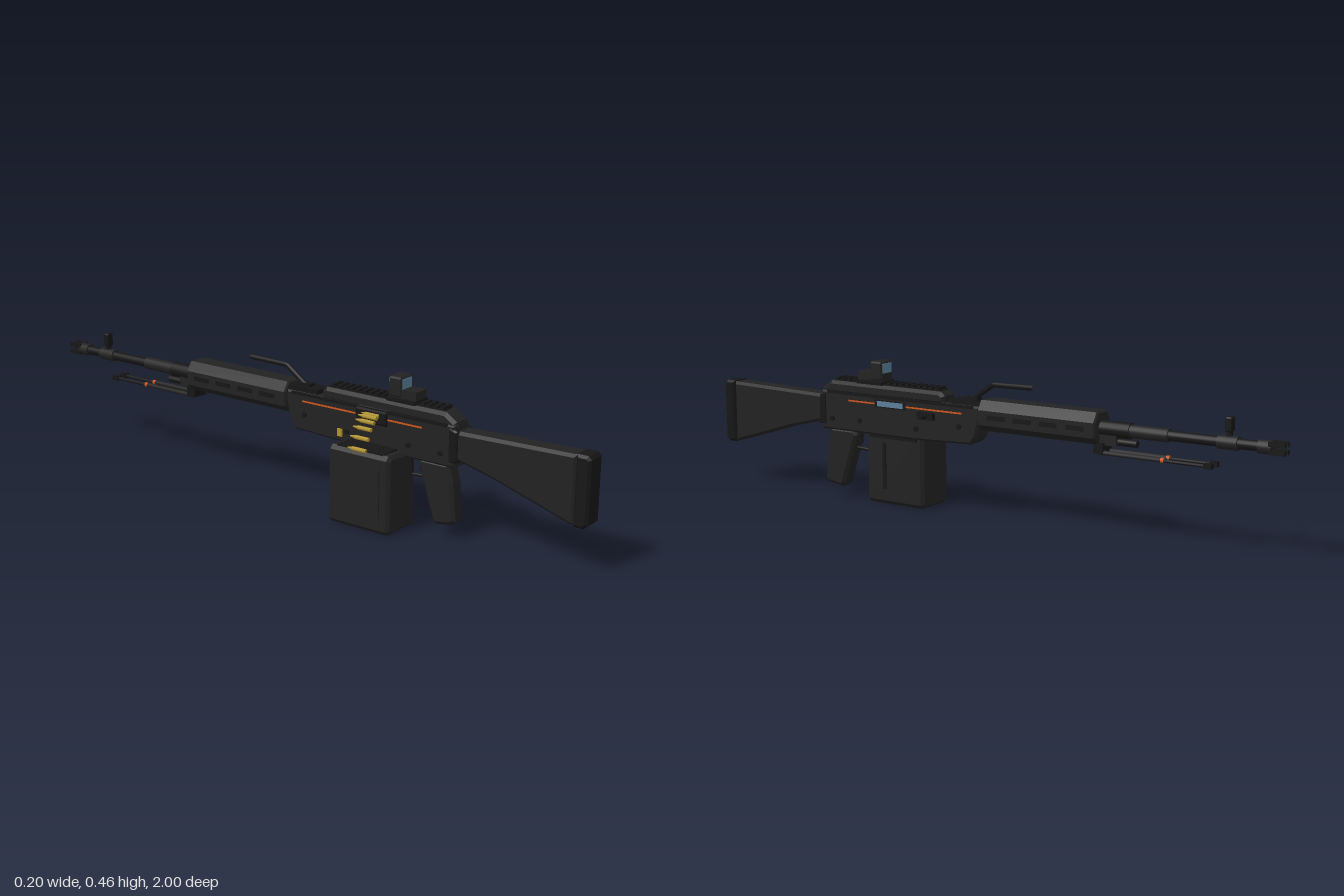
import * as THREE from 'three';
import { RoundedBoxGeometry } from 'three/addons/geometries/RoundedBoxGeometry.js';

const AXIS = 0.022; // x of the bore line
const BORE = 0.325; // y of the bore line

export function createModel() {
  const root = new THREE.Group();
  root.name = 'beltFedGun';
  const mat = (name, color) => {
    const m = new THREE.MeshStandardMaterial({ color });
    m.name = name;
    return m;
  };
  const body = mat('charcoal', 0x222222);
  const dark = mat('black', 0x161616);
  const glass = mat('blueGlass', 0x5a7f98);
  const brass = mat('brass', 0xb0922c);
  const orange = mat('orange', 0xd0541a);

  const add = (name, geo, material, x = 0, y = 0, z = 0) => {
    const m = new THREE.Mesh(geo, material);
    m.name = name;
    m.position.set(x, y, z);
    root.add(m);
    return m;
  };
  // Box given by its min and max on each axis
  const box = (name, material, [x0, x1], [y0, y1], [z0, z1]) =>
    add(name, new THREE.BoxGeometry(x1 - x0, y1 - y0, z1 - z0), material,
      (x0 + x1) / 2, (y0 + y1) / 2, (z0 + z1) / 2);
  const shapeOf = (pts) => new THREE.Shape(pts.map(([u, v]) => new THREE.Vector2(u, v)));
  const extrude = (pts, depth, bevel) => {
    const g = new THREE.ExtrudeGeometry(shapeOf(pts), {
      depth: depth - 2 * bevel, bevelEnabled: bevel > 0, bevelSize: bevel,
      bevelThickness: bevel, bevelOffset: -bevel, bevelSegments: 1, curveSegments: 6,
    });
    return g.translate(0, 0, bevel - depth / 2);
  };
  // Side outline of [z, y] points, given a width across x
  const side = (name, material, pts, width, bevel = 0.006, x = AXIS) =>
    add(name, extrude(pts, width, bevel).rotateY(-Math.PI / 2), material, x);
  // Front outline of [x, y] points, run from z0 to z1
  const along = (name, material, pts, z0, z1, bevel = 0.004) =>
    add(name, extrude(pts, z1 - z0, bevel), material, 0, 0, (z0 + z1) / 2);
  // Cylinder along z
  const rod = (name, material, r, z0, z1, x = AXIS, y = BORE, sides = 16) =>
    add(name, new THREE.CylinderGeometry(r, r, z1 - z0, sides).rotateX(Math.PI / 2),
      material, x, y, (z0 + z1) / 2);
  const tube = (name, material, pts, r) => {
    const path = new THREE.CurvePath();
    const v = pts.map((p) => new THREE.Vector3(...p));
    for (let i = 1; i < v.length; i++) path.add(new THREE.LineCurve3(v[i - 1], v[i]));
    return add(name, new THREE.TubeGeometry(path, 24, r, 8), material);
  };

  // Stock, butt pad and rear cap
  side('stock', body, [[0.57, 0.335], [0.57, 0.25], [0.7, 0.218], [0.94, 0.143],
    [0.957, 0.14], [0.957, 0.344]], 0.066, 0.009);
  side('buttPad', dark, [[0.955, 0.139], [0.985, 0.137], [1, 0.15], [1, 0.337],
    [0.99, 0.347], [0.955, 0.347]], 0.07, 0.008);
  side('stockCollar', dark, [[0.555, 0.238], [0.585, 0.242], [0.585, 0.335], [0.555, 0.345]], 0.08, 0.005);

  // Receiver, top cover and rail
  side('receiver', body, [[0.575, 0.225], [0.2, 0.225], [0.0, 0.233], [-0.018, 0.255], [-0.035, 0.325],
    [-0.03, 0.352], [0.575, 0.352]], 0.075);
  side('topCover', body, [[0.58, 0.345], [0.575, 0.36], [0.54, 0.384], [0.115, 0.384],
    [0.1, 0.372], [0.1, 0.345]], 0.07, 0.01);
  box('rail', dark, [0.002, 0.042], [0.38, 0.387], [0.12, 0.53]);
  for (let i = 0; i < 18; i++) {
    const z = 0.128 + i * 0.0228;
    box('railTooth', dark, [0, 0.044], [0.386, 0.395], [z, z + 0.012]);
  }
  box('barrelClamp', dark, [-0.005, 0.049], [0.35, 0.366], [-0.03, 0.08]);

  // Side stripes, pins and lower ledges on both flanks
  for (const s of [-1, 1]) {
    const face = AXIS + s * 0.0375;
    const plate = (name, m, y, z, h, l, t = 0.003) =>
      add(name, new THREE.BoxGeometry(t, h, l), m, face, y, z);
    plate('stripe', orange, 0.326, 0.2475, 0.005, 0.435);
    plate('sideLedge', dark, 0.348, 0.27, 0.008, 0.56, 0.008);
    for (const [z, y] of [[0.53, 0.262], [0.42, 0.265], [0.2, 0.262], [0.04, 0.285]]) {
      add('pin', new THREE.CylinderGeometry(0.008, 0.008, 0.012, 10).rotateZ(Math.PI / 2), dark, face, y, z);
    }
  }
  box('sideWindowFrame', dark, [0.058, 0.0615], [0.315, 0.34], [0.24, 0.36]);
  box('sideWindow', glass, [0.059, 0.063], [0.319, 0.336], [0.25, 0.35]);
  box('brassTab', brass, [-0.019, -0.013], [0.243, 0.267], [0.165, 0.182]);

  // Charging handle
  box('chargingSlide', dark, [0.058, 0.073], [0.295, 0.318], [0.13, 0.19]);
  add('chargingHandle', new THREE.CylinderGeometry(0.006, 0.006, 0.04, 10).rotateZ(Math.PI / 2), dark, 0.08, 0.306, 0.157);

  // Pistol grip, trigger and guard
  side('pistolGrip', body, [[0.55, 0.23], [0.455, 0.23], [0.445, 0.212], [0.498, 0.05], [0.508, 0.037],
    [0.565, 0.046], [0.576, 0.058], [0.565, 0.17]], 0.056, 0.01);
  tube('triggerGuard', dark, [[AXIS, 0.168, 0.47], [AXIS, 0.165, 0.41], [AXIS, 0.23, 0.402]], 0.005);
  side('trigger', dark, [[0.465, 0.23], [0.45, 0.23], [0.438, 0.185], [0.444, 0.183], [0.455, 0.2]], 0.012, 0.002);

  // Ammunition box with raised side panels
  along('ammoBox', body, [[-0.086, 0], [0.033, 0], [0.044, 0.012], [0.044, 0.235], [-0.084, 0.243],
    [-0.096, 0.23], [-0.096, 0.012]], 0.188, 0.408, 0.01);
  box('boxSidePanel', body, [-0.1, -0.09], [0.035, 0.2], [0.22, 0.376]);
  box('boxLid', dark, [-0.086, -0.015], [0.236, 0.245], [0.215, 0.38]);
  box('boxRib', dark, [0.04, 0.047], [0.05, 0.2], [0.33, 0.342]);
  box('boxMount', dark, [-0.01, 0.05], [0.215, 0.24], [0.21, 0.39]);

  // Feed tray and ammunition belt
  along('feedTray', dark, [[-0.01, 0.3], [-0.026, 0.312], [-0.026, 0.345], [-0.01, 0.356]], 0.235, 0.345, 0.003);
  const belt = [[-0.088, 0.244], [-0.076, 0.276], [-0.063, 0.302], [-0.05, 0.32], [-0.037, 0.331], [-0.024, 0.335]];
  for (const [x, y] of belt) {
    rod('cartridge', brass, 0.0065, 0.274, 0.322, x, y, 10);
    add('bulletTip', new THREE.CylinderGeometry(0.002, 0.005, 0.018, 10).rotateX(-Math.PI / 2), brass, x, y, 0.265);
  }

  // Reflex sight with a framed lens
  box('sightMount', dark, [-0.012, 0.057], [0.384, 0.396], [0.335, 0.435]);
  box('sightBase', body, [-0.004, 0.048], [0.39, 0.422], [0.34, 0.435]);
  add('sightHousing', new RoundedBoxGeometry(0.062, 0.062, 0.045, 2, 0.008), body, AXIS, 0.428, 0.3625);
  box('sightLens', glass, [-0.001, 0.045], [0.421, 0.452], [0.338, 0.387]);

  // Carrying handle
  tube('carryHandle', dark, [[AXIS, 0.362, 0.03], [AXIS, 0.37, 0.01], [AXIS, 0.418, -0.058], [AXIS, 0.42, -0.2]], 0.008);
  box('handleHinge', dark, [0.008, 0.036], [0.35, 0.374], [-0.01, 0.04]);

  // Handguard with vents on both flanks
  along('handguard', body, [[-0.006, 0.28], [0.05, 0.28], [0.07, 0.3], [0.07, 0.345], [0.05, 0.374],
    [-0.006, 0.374], [-0.026, 0.345], [-0.026, 0.3]], -0.435, -0.03, 0.005);
  for (const s of [-1, 1]) {
    for (let i = 0; i < 4; i++) {
      add('vent', new THREE.BoxGeometry(0.004, 0.014, 0.06), dark, AXIS + s * 0.0475, 0.325, -0.1 - i * 0.09);
    }
  }

  // Barrel, collars, gas block and slotted muzzle
  rod('barrelRear', dark, 0.024, -0.53, -0.42);
  rod('barrelMiddle', body, 0.02, -0.65, -0.52);
  rod('barrelFront', dark, 0.015, -0.95, -0.64);
  rod('barrelCollar', body, 0.02, -0.86, -0.8);
  rod('muzzle', body, 0.02, -0.96, -0.92);
  for (const sx of [-1, 1]) {
    for (const sy of [-1, 1]) {
      add('muzzleProng', new THREE.BoxGeometry(0.013, 0.013, 0.048), dark, AXIS + sx * 0.0125, BORE + sy * 0.0115, -0.976);
    }
  }
  rod('gasTube', dark, 0.011, -0.55, -0.4, AXIS, 0.289, 12);
  box('gasBlock', body, [0.004, 0.04], [0.278, 0.325], [-0.49, -0.43]);

  // Front sight post
  box('frontSightPost', dark, [0.014, 0.03], [0.335, 0.375], [-0.838, -0.826]);
  add('frontSightHood', new RoundedBoxGeometry(0.026, 0.044, 0.022, 2, 0.006), dark, AXIS, 0.377, -0.832);

  // Folded bipod
  box('bipodHinge', dark, [-0.006, 0.05], [0.252, 0.285], [-0.452, -0.42]);
  for (const s of [-1, 1]) {
    const x = AXIS + s * 0.019;
    rod('bipodLeg', body, 0.007, -0.65, -0.44, x, 0.256, 10);
    rod('bipodLegTip', dark, 0.005, -0.78, -0.64, x, 0.255, 10);
    rod('bipodRing', orange, 0.0075, -0.644, -0.634, x, 0.256, 10);
    box('bipodFoot', dark, [x - 0.009, x + 0.009], [0.248, 0.263], [-0.792, -0.768]);
  }
  return root;
}
